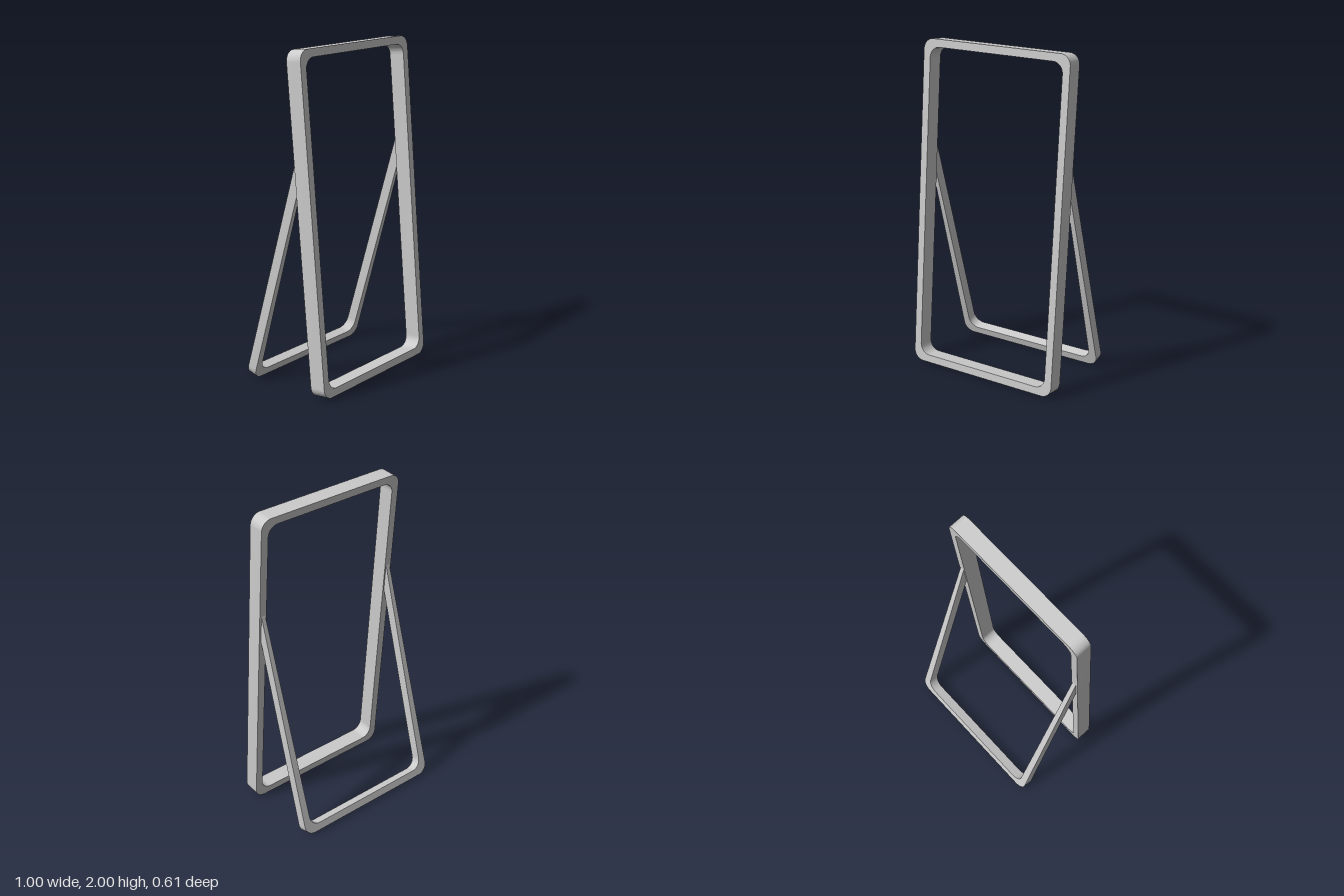
import * as THREE from 'three';
import { toCreasedNormals } from 'three/addons/utils/BufferGeometryUtils.js';

const BAR = 0.047, R = 0.065, HALF = 0.5;

// Rounded rectangle outline standing on y0
function roundedRect(path, hw, y0, y1, r) {
  path.moveTo(-hw + r, y0);
  path.lineTo(hw - r, y0);
  path.absarc(hw - r, y0 + r, r, -Math.PI / 2, 0);
  path.lineTo(hw, y1 - r);
  path.absarc(hw - r, y1 - r, r, 0, Math.PI / 2);
  path.lineTo(-hw + r, y1);
  path.absarc(-hw + r, y1 - r, r, Math.PI / 2, Math.PI);
  path.lineTo(-hw, y0 + r);
  path.absarc(-hw + r, y0 + r, r, Math.PI, Math.PI * 1.5);
  return path;
}

function extrude(shape, depth) {
  return new THREE.ExtrudeGeometry(shape, { depth, bevelEnabled: false, curveSegments: 12 });
}

function addPart(group, name, geometry, y, z, tilt) {
  const material = new THREE.MeshStandardMaterial({ color: 0xcccccc });
  const mesh = new THREE.Mesh(toCreasedNormals(geometry, 0.5), material);
  mesh.name = name;
  mesh.position.set(0, y, z);
  mesh.rotation.x = tilt;
  group.add(mesh);
}

export function createModel() {
  const group = new THREE.Group();
  group.name = 'standingFrame';

  // Main frame, leaning back
  const height = 1.9987, frameTilt = 0.0852;
  const frame = roundedRect(new THREE.Shape(), HALF, 0, height, R);
  frame.holes.push(roundedRect(new THREE.Path(), HALF - BAR, BAR, height - BAR, R));
  addPart(group, 'frame', extrude(frame, 0.1), 0, 0.205, -frameTilt);

  // U-shaped rear stand whose legs taper towards the top
  const top = 1.43, depth = 0.062, standTilt = 0.281;
  const outer = 0.488, inner = 0.462, inX = HALF - BAR;
  const u = new THREE.Shape();
  u.moveTo(-HALF + R, 0);
  u.lineTo(HALF - R, 0);
  u.absarc(HALF - R, R, R, -Math.PI / 2, 0);
  u.lineTo(outer, top);
  u.lineTo(inner, top);
  u.lineTo(inX, BAR + R);
  u.absarc(inX - R, BAR + R, R, 0, -Math.PI / 2, true);
  u.lineTo(-inX + R, BAR);
  u.absarc(-inX + R, BAR + R, R, -Math.PI / 2, -Math.PI, true);
  u.lineTo(-inner, top);
  u.lineTo(-outer, top);
  u.lineTo(-HALF, R);
  u.absarc(-HALF + R, R, R, Math.PI, Math.PI * 1.5);
  const stand = extrude(u, depth);

  // Mitre the leg ends against the back of the frame
  const p = stand.attributes.position;
  const slope = 1 / Math.tan(frameTilt + standTilt);
  for (let i = 0; i < p.count; i++) {
    if (p.getY(i) > 1) p.setY(i, top - p.getZ(i) * slope);
  }
  addPart(group, 'rearStand', stand, 0.018, -0.305, standTilt);

  return group;
}
